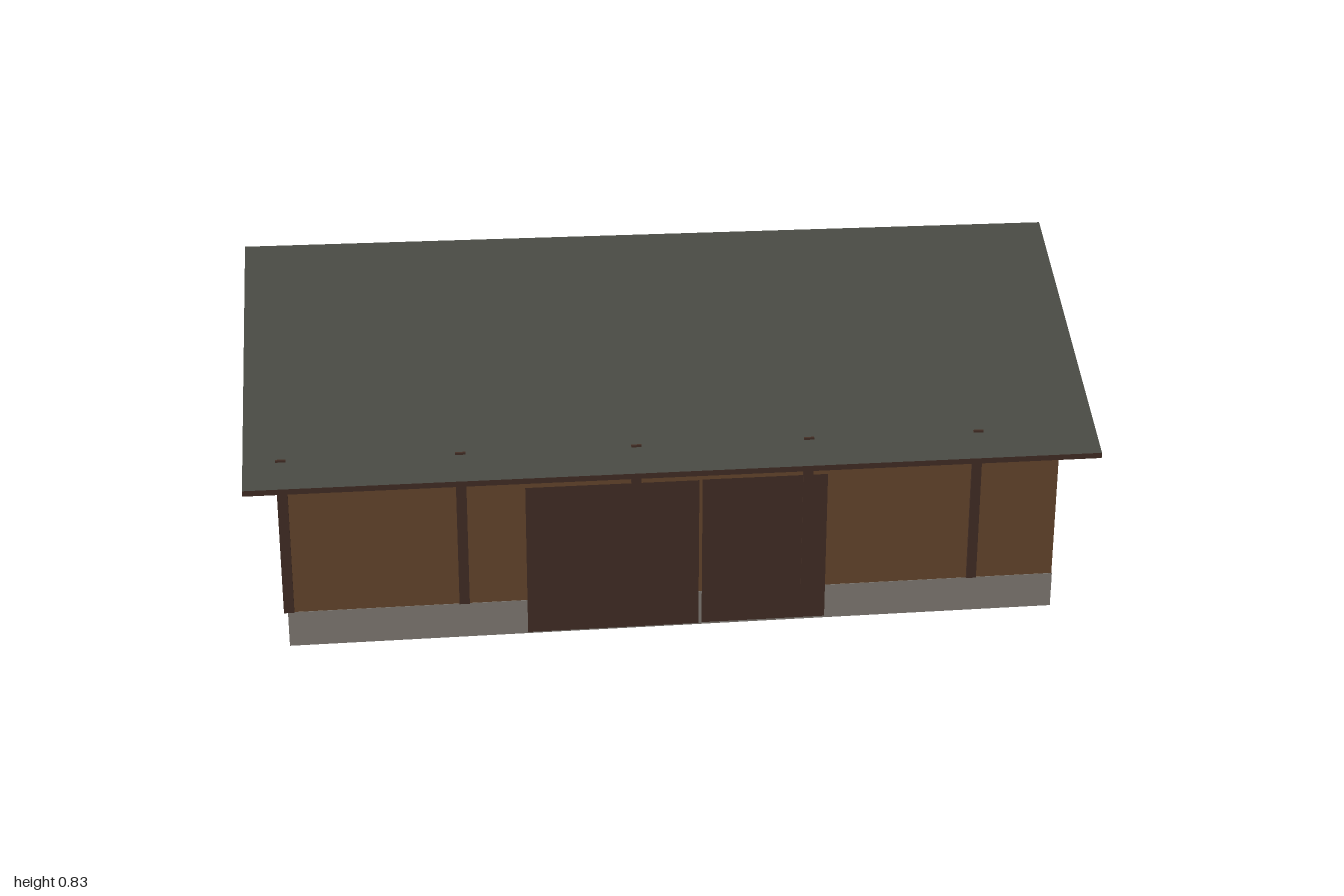
import * as THREE from 'three';

const timber = new THREE.MeshStandardMaterial({ name: 'timber wall', color: 0x6b4a2f });
const stone = new THREE.MeshStandardMaterial({ name: 'stone base', color: 0x87817a });
const slate = new THREE.MeshStandardMaterial({ name: 'roof slate', color: 0x4a4b44 });
const darkWood = new THREE.MeshStandardMaterial({ name: 'dark wood', color: 0x463027, side: THREE.DoubleSide });

const WALL_X = 0.917, WALL_Z = 0.511, BASE_H = 0.085;
const RIDGE = 0.835, EAVE_Y = 0.415, EAVE_Z = 0.575, ROOF_DROP = 0.013;

function add(parent, name, geometry, material, x = 0, y = 0, z = 0) {
  const mesh = new THREE.Mesh(geometry, material);
  mesh.name = name;
  mesh.position.set(x, y, z);
  parent.add(mesh);
  return mesh;
}

// Flat strip running the full roof length, from (y, z) a to (y, z) b
function roofStrip(a, b) {
  const g = new THREE.BufferGeometry();
  const p = [-1, ...a, 1, ...a, 1, ...b, -1, ...b];
  g.setAttribute('position', new THREE.Float32BufferAttribute(p, 3));
  g.setIndex([0, 2, 1, 0, 3, 2]);
  g.computeVertexNormals();
  return g;
}

export function createModel() {
  const barn = new THREE.Group();
  barn.name = 'barn';

  // Gabled wall body
  const profile = new THREE.Shape([
    new THREE.Vector2(-WALL_Z, BASE_H), new THREE.Vector2(WALL_Z, BASE_H),
    new THREE.Vector2(WALL_Z, 0.459), new THREE.Vector2(0, 0.831),
    new THREE.Vector2(-WALL_Z, 0.459),
  ]);
  const body = new THREE.ExtrudeGeometry(profile, { depth: WALL_X * 2, bevelEnabled: false });
  body.translate(0, 0, -WALL_X).rotateY(Math.PI / 2);
  add(barn, 'walls', body, timber);

  // Stone plinth
  add(barn, 'plinth', new THREE.BoxGeometry(WALL_X * 2 + 0.002, BASE_H, WALL_Z * 2 + 0.003), stone, 0, BASE_H / 2);

  // Thin roof slopes, open at the gable ends, with fascia strips along the eaves
  for (const side of [1, -1]) {
    const slope = new THREE.Group();
    slope.name = side > 0 ? 'frontRoof' : 'backRoof';
    const low = EAVE_Y - ROOF_DROP;
    add(slope, 'roofCover', roofStrip([EAVE_Y, -EAVE_Z], [RIDGE, 0]), slate);
    add(slope, 'roofUnderside', roofStrip([RIDGE - ROOF_DROP, 0], [low, -EAVE_Z]), darkWood);
    add(slope, 'fascia', roofStrip([low, -EAVE_Z], [EAVE_Y, -EAVE_Z]), darkWood);
    if (side > 0) slope.rotation.y = Math.PI;
    barn.add(slope);
  }

  // Front posts, their tops just piercing the roof
  const postH = 0.463 - BASE_H;
  for (let i = 0; i < 5; i++) {
    add(barn, 'post', new THREE.BoxGeometry(0.024, postH, 0.02), darkWood,
      -0.915 + i * 0.4075, BASE_H + postH / 2, 0.506);
  }

  // Pair of sliding door leaves
  for (const [name, x0, x1, z] of [['rightDoor', -0.36, 0.048, 0.5175], ['leftDoor', 0.056, 0.355, 0.5145]]) {
    add(barn, name, new THREE.PlaneGeometry(x1 - x0, 0.365), darkWood, (x0 + x1) / 2, 0.1875, z);
  }

  return barn;
}
